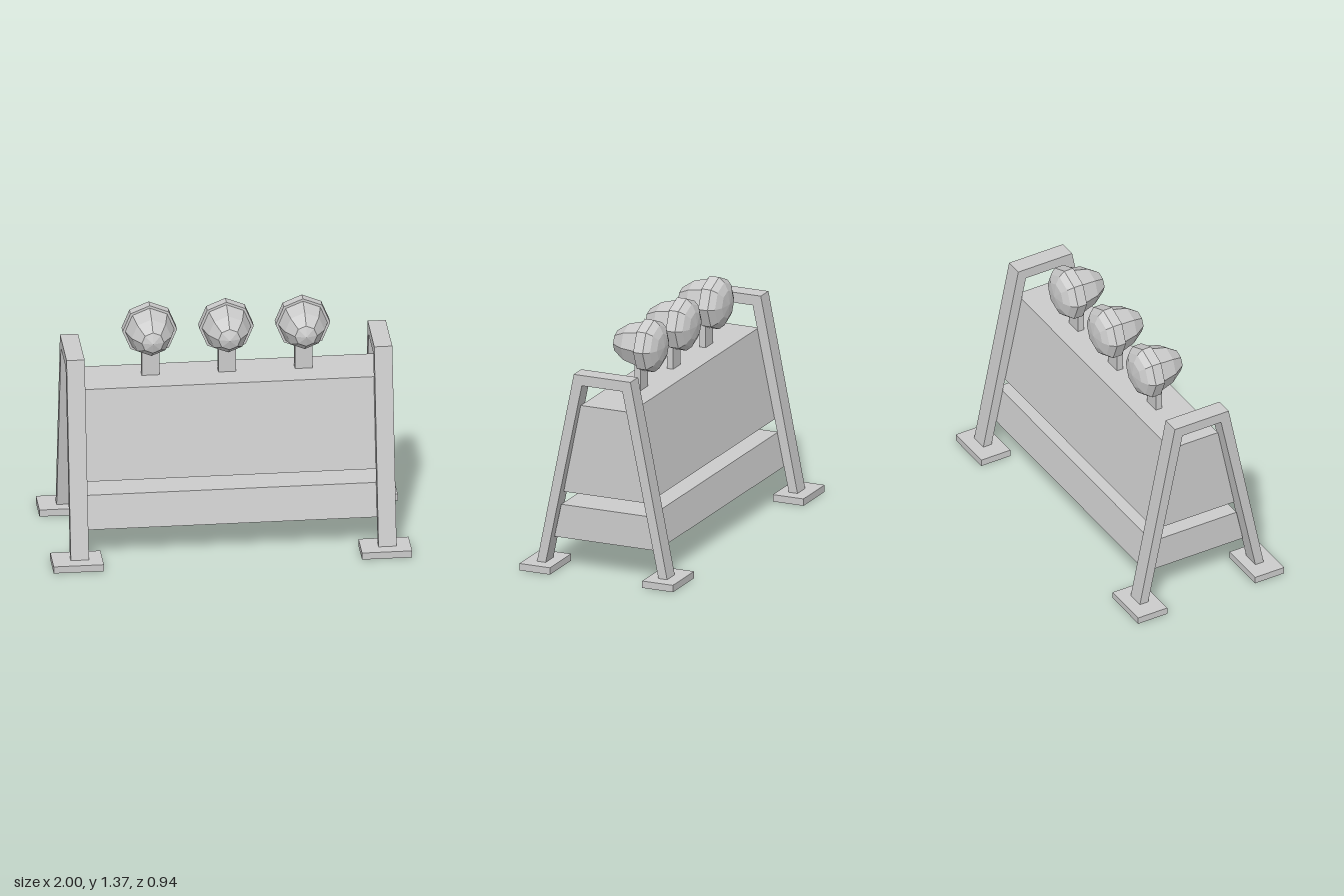
import * as THREE from 'three';

export function createModel() {
  const model = new THREE.Group();
  model.name = 'roadBarricade';
  const grey = new THREE.MeshStandardMaterial({ color: 0xcccccc, flatShading: true });
  grey.name = 'plain grey';

  const add = (name, geometry, x = 0, y = 0, z = 0) => {
    const mesh = new THREE.Mesh(geometry, grey);
    mesh.name = name;
    mesh.position.set(x, y, z);
    model.add(mesh);
  };

  // Extrudes a side-on outline of [z, y] points from x0 to x1
  const sideExtrude = (points, x0, x1) => {
    const shape = new THREE.Shape(points.map(([z, y]) => new THREE.Vector2(z, y)));
    return new THREE.ExtrudeGeometry(shape, { depth: x1 - x0, bevelEnabled: false })
      .rotateY(Math.PI / 2).translate(x0, 0, 0);
  };

  // A-shaped end frames
  const half = [[0.398, 0.04], [0.173, 1.16], [0.124, 1.1], [0.345, 0.04]];
  const [foot, shoulder, crook, inner] = half;
  const flip = ([z, y]) => [-z, y];
  const frame = [foot, shoulder, flip(shoulder), flip(foot), flip(inner), flip(crook), crook, inner];
  add('rightFrame', sideExtrude(frame, -0.897, -0.796));
  add('leftFrame', sideExtrude(frame, 0.82, 0.921));

  // Foot plates
  for (const sx of [-1, 1]) {
    for (const sz of [-1, 1]) {
      add('footPlate', new THREE.BoxGeometry(0.28, 0.04, 0.187), sx * 0.86, 0.02, sz * 0.376);
    }
  }

  // Tapered panels, their ends set into the frames
  const panel = (y0, z0, y1, z1) =>
    sideExtrude([[-z0, y0], [z0, y0], [z1, y1], [-z1, y1]], -0.815, 0.875);
  add('upperPanel', panel(0.452, 0.256, 0.968, 0.152));
  add('lowerPanel', panel(0.183, 0.312, 0.376, 0.271));

  // Eight-sided warning lamps on short posts: [radius, z] from back to front
  const profile = [
    [0, -0.162], [0.08, -0.152], [0.125, -0.13], [0.152, -0.097], [0.152, -0.04],
    [0.137, -0.04], [0.111, 0.055], [0.062, 0.126], [0, 0.146],
  ].map(([r, z]) => new THREE.Vector2(r, z));
  const lamp = new THREE.LatheGeometry(profile, 8).rotateX(Math.PI / 2);
  for (const x of [-0.41, 0.018, 0.445]) {
    add('lampPost', new THREE.BoxGeometry(0.098, 0.16, 0.038), x, 1.045, -0.019);
    add('warningLamp', lamp, x, 1.222, 0);
  }
  return model;
}
